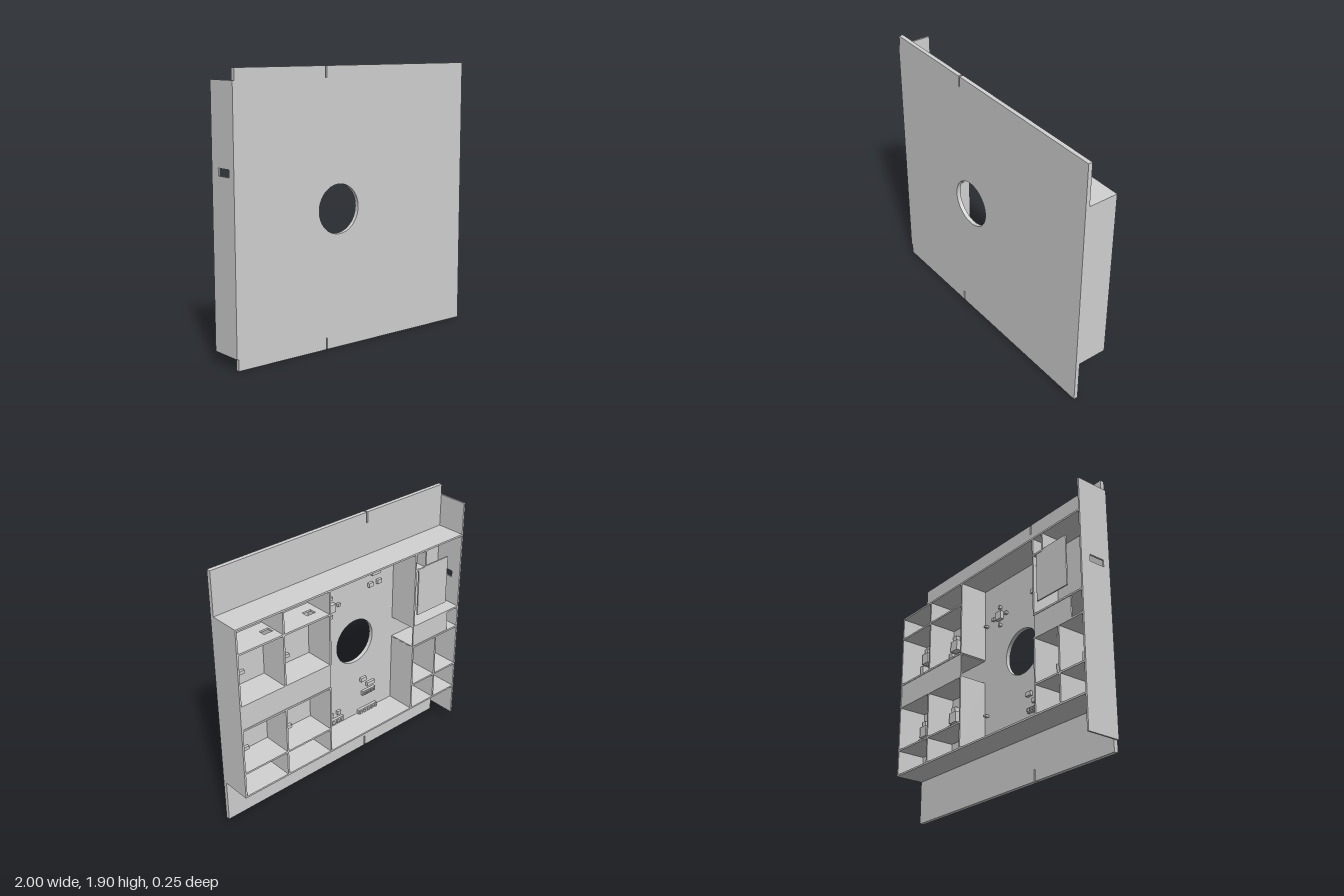
import * as THREE from 'three';

const T = 0.013;          // wall thickness
const BACK = -0.1225;     // open rim of the tray
const PLATE = 0.0925;     // rear face of the front plate
const FRONT = 0.1225;

export function createModel() {
  const root = new THREE.Group();
  root.name = 'panelTray';
  const grey = new THREE.MeshStandardMaterial({ color: 0xd2d2d2 });
  grey.name = 'light grey';

  const add = (name, geometry) => {
    const mesh = new THREE.Mesh(geometry, grey);
    mesh.name = name;
    root.add(mesh);
    return mesh;
  };
  const box = (name, x0, x1, y0, y1, z0, z1) => {
    const m = add(name, new THREE.BoxGeometry(x1 - x0, y1 - y0, z1 - z0));
    m.position.set((x0 + x1) / 2, (y0 + y1) / 2, (z0 + z1) / 2);
    return m;
  };
  const rect = (C, x0, x1, y0, y1) => new C([
    [x0, y0], [x1, y0], [x1, y1], [x0, y1],
  ].map(([x, y]) => new THREE.Vector2(x, y)));
  const extrude = (shape, depth) =>
    new THREE.ExtrudeGeometry(shape, { depth, bevelEnabled: false, curveSegments: 32 });

  // Front plate with round opening, edge slots and corner notches
  const plate = new THREE.Shape([
    [-0.987, 0], [-0.277, 0], [-0.277, 0.08], [-0.266, 0.08], [-0.266, 0], [1, 0],
    [1, 1.905], [-0.266, 1.905], [-0.266, 1.828], [-0.277, 1.828], [-0.277, 1.905], [-0.987, 1.905],
  ].map(([x, y]) => new THREE.Vector2(x, y)));
  const hole = new THREE.Path();
  hole.absarc(-0.164, 0.953, 0.169, 0, Math.PI * 2, true);
  plate.holes.push(hole);
  add('frontPlate', extrude(plate, FRONT - PLATE)).position.z = PLATE;

  // Tall side wall with a cable slot
  const side = rect(THREE.Shape, -FRONT, -BACK, 0.078, 1.828);
  side.holes.push(rect(THREE.Path, -0.07, 0.05, 1.23, 1.28));
  const sideGeo = extrude(side, T);
  sideGeo.rotateY(Math.PI / 2);
  add('tallSideWall', sideGeo).position.x = -1;

  // Horizontal walls; each slot is a centre position along x
  const shelf = (name, x0, x1, y, slots = []) => {
    const s = rect(THREE.Shape, x0, x1, BACK, PLATE);
    for (const c of slots) s.holes.push(rect(THREE.Path, c - 0.035, c + 0.035, -0.04, 0.01));
    const g = extrude(s, T);
    g.rotateX(Math.PI / 2);
    add(name, g).position.y = y + T / 2;
  };
  const wall = (name, x, y0, y1) => box(name, x - T / 2, x + T / 2, y0, y1, BACK, PLATE);

  shelf('topWall', -0.987, 1, 1.587);
  shelf('bottomWall', -0.987, 1, 0.32);
  wall('shortSideWall', 1 - T / 2, 0.3135, 1.5935);

  // Left bays
  shelf('bayShelf', 0.25, 0.99, 1.413, [0.69, 0.34]);
  shelf('channelWall', 0.25, 0.99, 1.03);
  shelf('channelWall', 0.25, 0.99, 0.85, [0.69, 0.34]);
  shelf('bayShelf', 0.25, 0.99, 0.51);
  // Right bays
  shelf('channelWall', -0.987, -0.53, 1.015);
  shelf('channelWall', -0.987, -0.53, 0.85, [-0.69, -0.93]);
  shelf('bayShelf', -0.987, -0.53, 0.525);
  shelf('smallShelf', -0.63, -0.53, 1.455);
  wall('smallDivider', -0.63, 1.455, 1.587);

  // Upright dividers
  for (const [x, low, high] of [[0.633, 0.85, 1.03], [0.25, 0.85, 1.03], [-0.535, 0.85, 1.015]]) {
    wall('lowerDivider', x, 0.32, low);
    wall('upperDivider', x, high, 1.587);
  }
  wall('lowerDivider', -0.768, 0.32, 0.85);

  // Channel covers and the display panel
  box('channelCover', 0.25, 0.99, 0.855, 1.025, BACK + 0.004, BACK + 0.014);
  box('channelCover', -0.885, -0.535, 0.855, 1.01, BACK + 0.004, BACK + 0.014);
  box('displayPanel', -0.855, -0.568, 1.1, 1.465, -0.12, -0.11);
  box('displayBlock', -0.62, -0.56, 1.39, 1.44, 0.04, PLATE);

  // Small parts on the rear of the plate: centre, width, height, depth
  const part = (name, x, y, w, h, d) =>
    box(name, x - w / 2, x + w / 2, y - h / 2, y + h / 2, PLATE - d, PLATE);
  for (const [x, y] of [[0.93, 1.28], [0.56, 1.25], [0.93, 0.68], [0.56, 0.68], [-0.6, 0.66], [-0.84, 0.66]]) {
    part('switchBody', x, y, 0.075, 0.08, 0.05);
    part('switchCap', x + 0.01, y + 0.06, 0.04, 0.05, 0.035);
    part('switchSocket', x + 0.025, y - 0.1, 0.035, 0.08, 0.06);
    part('smallChip', x - 0.1, y - 0.15, 0.04, 0.025, 0.02);
  }
  for (const x of [0.93, 0.56, -0.6, -0.85]) {
    part('bayConnector', x, 0.36, 0.08, 0.03, 0.03);
    part('smallChip', x - 0.05, 0.41, 0.03, 0.02, 0.02);
  }

  // Centre sensor with four posts
  part('sensor', 0.065, 1.31, 0.06, 0.06, 0.03);
  for (const [dx, dy] of [[0.07, 0], [-0.07, 0], [0, 0.07], [0, -0.07]])
    part('sensorPost', 0.065 + dx, 1.31 + dy, 0.022, 0.022, 0.02);
  for (const y of [1.28, 0.59]) part('pin', 0.21, y, 0.02, 0.015, 0.03);

  // Loose chips and connector strips
  for (const [x, y, w] of [
    [-0.35, 1.44, 0.08], [-0.3, 1.36, 0.04], [-0.38, 1.36, 0.04], [-0.24, 0.61, 0.05],
    [-0.31, 0.55, 0.07], [0.0, 0.43, 0.03], [0.07, 0.43, 0.03], [0.14, 0.42, 0.03],
  ]) part('chip', x, y, w, 0.03, 0.02);
  for (const [x, y, w] of [[0.06, 0.37, 0.2], [-0.29, 0.49, 0.12], [-0.28, 0.34, 0.18]]) {
    part('connectorStrip', x, y, w, 0.035, 0.02);
    for (let i = -2; i <= 2; i++) part('connectorPin', x + i * w * 0.2, y, w * 0.1, 0.02, 0.03);
  }
  return root;
}
